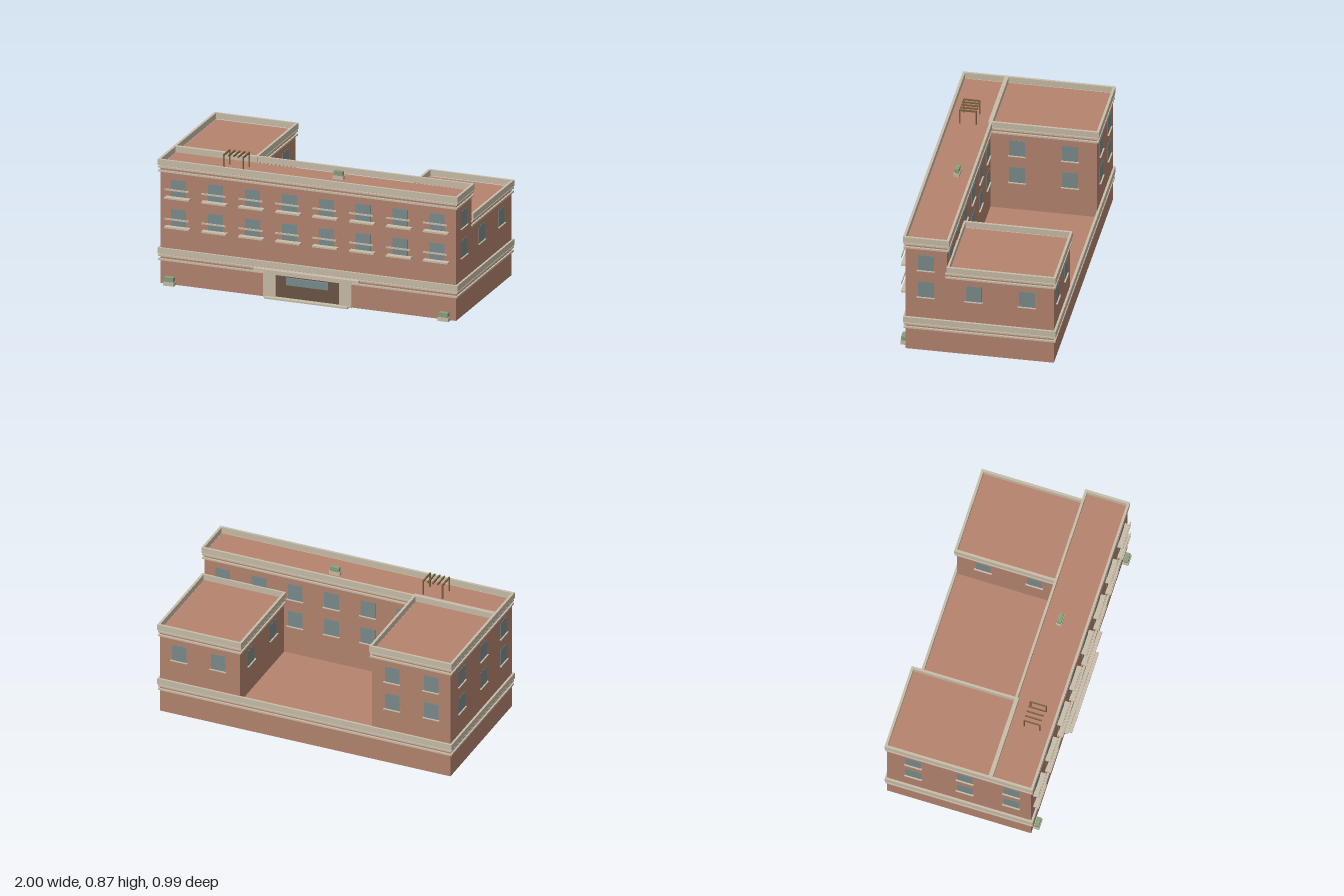
import * as THREE from 'three';

const paint = (color) => new THREE.MeshStandardMaterial({ color });

export function createModel() {
  const model = new THREE.Group();
  model.name = 'brickBuilding';
  const brick = paint(0xb5846f), stone = paint(0xc8bda9), glass = paint(0x7a8c8c);
  const green = paint(0x8aa07c), brown = paint(0x6b5744), timber = paint(0x80633f);

  // Box given by its lower and upper limits on each axis
  function box(name, mat, x0, x1, y0, y1, z0, z1, parent = model) {
    const mesh = new THREE.Mesh(new THREE.BoxGeometry(x1 - x0, y1 - y0, z1 - z0), mat);
    mesh.position.set((x0 + x1) / 2, (y0 + y1) / 2, (z0 + z1) / 2);
    mesh.name = name;
    parent.add(mesh);
    return mesh;
  }

  const rect = (path, x0, x1, z0, z1) => {
    path.moveTo(x0, -z0);
    path.lineTo(x0, -z1);
    path.lineTo(x1, -z1);
    path.lineTo(x1, -z0);
    path.closePath();
    return path;
  };

  // Hollow rectangular parapet around a roof
  function parapet(name, x0, x1, z0, z1, y0, y1) {
    const t = 0.016;
    const shape = rect(new THREE.Shape(), x0, x1, z0, z1);
    shape.holes.push(rect(new THREE.Path(), x0 + t, x1 - t, z0 + t, z1 - t));
    const geo = new THREE.ExtrudeGeometry(shape, { depth: y1 - y0, bevelEnabled: false });
    geo.rotateX(-Math.PI / 2);
    const mesh = new THREE.Mesh(geo, stone);
    mesh.position.y = y0;
    mesh.name = name;
    model.add(mesh);
  }

  // Brick volume with two cornice bands and a parapet; top is the parapet's top
  function block(name, x0, x1, z0, z1, y0, top, frontOut = 0.014) {
    const o = 0.014, b = 0.011;
    box(name + 'Walls', brick, x0, x1, y0, top - 0.043, z0, z1);
    for (const d of [0.045, 0.071])
      box(name + 'Cornice', stone, x0 - b, x1 + b, top - d - 0.011, top - d, z0 - b, z1 + b);
    parapet(name + 'Parapet', x0 - o, x1 + o, z0 - o, z1 + frontOut, top - 0.039, top);
  }

  const W = 0.985, back = -0.481, front = 0.455, mid = 0.192;
  block('podium', -W, W, back, front, 0, 0.235);
  block('frontBlock', -W, W, mid, front, 0.19, 0.815);
  block('rightWing', -W, -0.453, back, mid, 0.19, 0.8155, 0.012);
  block('leftWing', 0.443, W, back, mid, 0.19, 0.623, 0.003);

  // Window with a sill or, on the front, a shelf and rail; angle turns it from +z
  function window_(x, y, z, angle, balcony = false) {
    const g = new THREE.Group();
    g.name = 'window';
    box('pane', glass, -0.05, 0.05, 0, 0.109, -0.004, 0.002, g);
    if (balcony) {
      box('balconySlab', stone, -0.082, 0.082, -0.01, 0, -0.004, 0.038, g);
      box('balconyRail', stone, -0.08, 0.08, 0.047, 0.058, 0.033, 0.038, g);
    } else {
      box('sill', stone, -0.057, 0.057, -0.005, 0, -0.004, 0.011, g);
    }
    g.position.set(x, y, z);
    g.rotation.y = angle;
    model.add(g);
  }

  const low = 0.386, high = 0.579, H = Math.PI / 2;
  // Front and courtyard rows
  for (let i = 0; i < 8; i++) {
    const x = -0.864 + i * 0.2462;
    for (const y of [low, high]) window_(x, y, front, 0, true);
    if (i >= 2) window_(x, high, mid, Math.PI);
    if (i >= 2 && i <= 5) window_(x, low, mid, Math.PI);
  }
  // Side walls
  for (const z of [0.326, 0.024, -0.311]) {
    window_(-W, low, z, -H);
    window_(-W, high, z, -H);
    window_(W, low, z, H);
  }
  window_(W, high, 0.326, H);
  // Wing walls facing the courtyard
  for (const z of [0.024, -0.311]) {
    window_(-0.453, low, z, H);
    window_(-0.453, high, z, H);
    window_(0.443, low, z, -H);
  }
  // Rear ends of the wings
  for (const x of [0.59, 0.855]) {
    window_(-x, low, back, Math.PI);
    window_(-x, high, back, Math.PI);
    window_(x, low, back, Math.PI);
  }

  // Entrance
  for (const [a, b] of [[-0.295, -0.214], [0.211, 0.292]])
    box('entranceJamb', stone, a, b, 0, 0.178, 0.45, 0.469);
  box('entranceLintel', stone, -0.214, 0.211, 0.155, 0.178, 0.45, 0.469);
  box('entranceDoor', brown, -0.214, 0.211, 0.01, 0.155, 0.45, 0.459);
  box('entranceGlass', glass, -0.142, 0.136, 0.097, 0.144, 0.455, 0.471);
  box('entranceStep', stone, -0.28, 0.275, 0, 0.01, 0.45, 0.497);
  box('entranceCanopy', stone, -0.353, 0.35, 0.178, 0.19, 0.45, 0.494);

  // Planters at the corners and on the roof
  function planter(x, y, z) {
    box('planterBox', stone, x - 0.035, x + 0.035, y, y + 0.025, z - 0.018, z + 0.018);
    box('planterHedge', green, x - 0.03, x + 0.03, y + 0.025, y + 0.055, z - 0.014, z + 0.014);
  }
  planter(-0.916, 0, 0.477);
  planter(0.913, 0, 0.477);
  planter(0.138, 0.77, 0.288);

  // Roof pergola
  for (let i = 0; i < 5; i++) {
    const x = -0.59 + i * 0.0325;
    box('pergolaBeam', timber, x - 0.004, x + 0.004, 0.862, 0.872, 0.28, 0.39);
    if (i % 4 === 0)
      for (const z of [0.284, 0.386])
        box('pergolaPost', timber, x - 0.004, x + 0.004, 0.77, 0.862, z - 0.004, z + 0.004);
  }
  return model;
}
